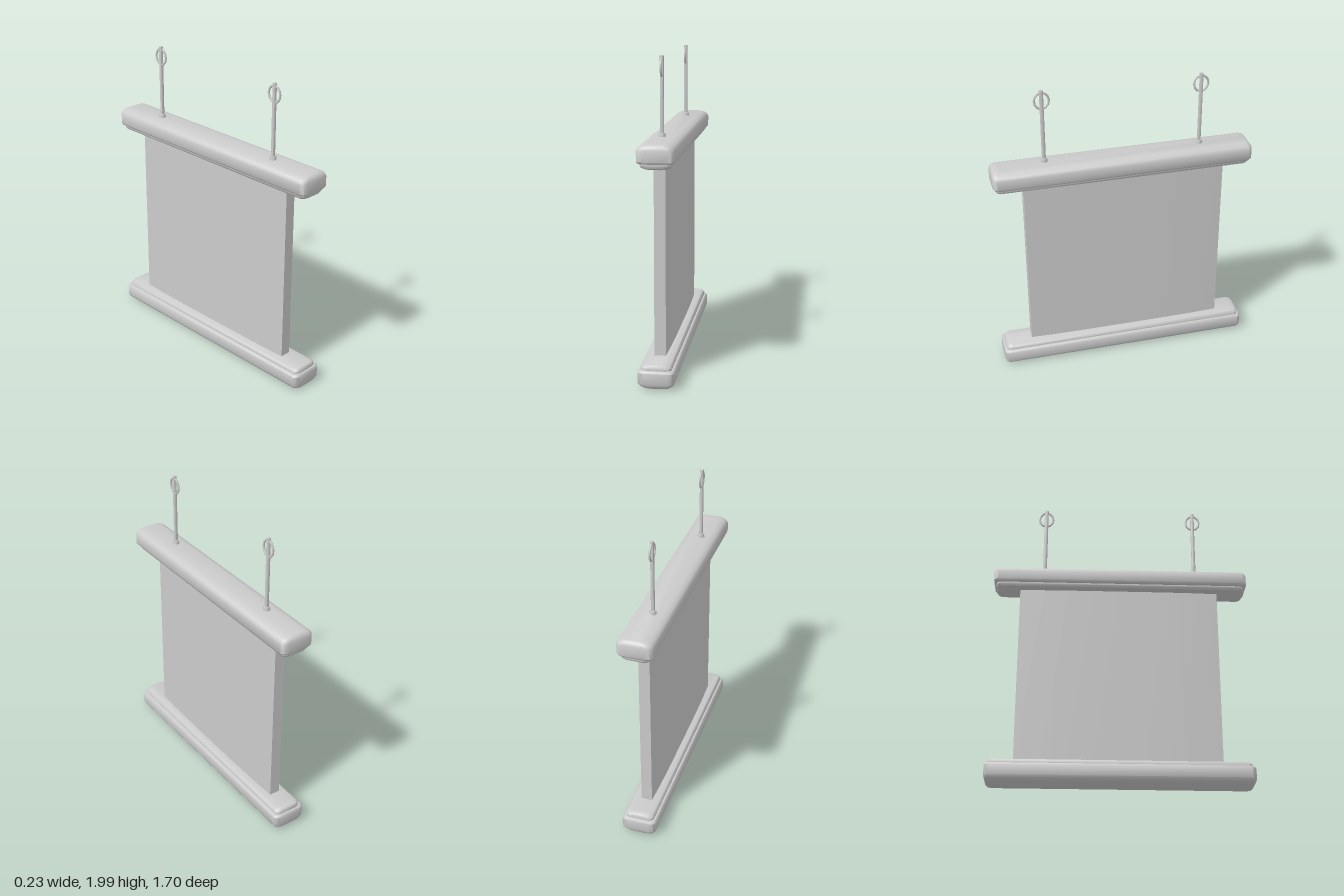
import * as THREE from 'three';
import { toCreasedNormals } from 'three/addons/utils/BufferGeometryUtils.js';

const grey = new THREE.MeshStandardMaterial({ color: 0xcccccc });

function add(parent, name, geometry, x = 0, y = 0, z = 0) {
  const mesh = new THREE.Mesh(geometry, grey);
  mesh.name = name;
  mesh.position.set(x, y, z);
  parent.add(mesh);
  return mesh;
}

// Solid skinned over horizontal outlines (each running from +x towards +z), listed upwards
function loft(rings, crease) {
  const n = rings[0].length, last = (rings.length - 1) * n, index = [];
  for (let j = 0; j < rings.length - 1; j++) {
    for (let i = 0; i < n; i++) {
      const a = j * n + i, b = j * n + (i + 1) % n;
      index.push(a, a + n, b, b, a + n, b + n);
    }
  }
  for (let i = 1; i < n - 1; i++) {
    index.push(0, i, i + 1, last, last + i + 1, last + i);
  }
  const geometry = new THREE.BufferGeometry();
  geometry.setAttribute('position', new THREE.Float32BufferAttribute(rings.flat(2), 3));
  geometry.setIndex(index);
  return toCreasedNormals(geometry, crease);
}

// Rectangle with cut corners at height y
function cutRectangle(y, hx, hz) {
  const cx = 0.036, cz = 0.026, mx = 0.014, mz = 0.007;
  const corner = [[hx, hz - cz], [hx - mx, hz - mz], [hx - cx, hz]];
  const mirrored = [...corner].reverse();
  return [
    ...corner,
    ...mirrored.map(([x, z]) => [-x, z]),
    ...corner.map(([x, z]) => [-x, -z]),
    ...mirrored.map(([x, z]) => [x, -z]),
  ].map(([x, z]) => [x, y, z]);
}

// Rail section: height, half depth, half length
const railProfile = [
  [0, 0.065, 0.815], [0.008, 0.085, 0.828], [0.022, 0.094, 0.834], [0.034, 0.094, 0.834],
  [0.036, 0.105, 0.843], [0.048, 0.113, 0.85], [0.115, 0.113, 0.85],
  [0.132, 0.104, 0.845], [0.145, 0.085, 0.836], [0.152, 0.06, 0.822],
];

export function createModel() {
  const model = new THREE.Group();
  model.name = 'hangingBanner';

  // Top rail, and the same rail turned over at the foot
  const rail = loft(railProfile.map(([y, hx, hz]) => cutRectangle(y, hx, hz)), 0.6);
  add(model, 'topRail', rail, 0, 1.358, 0);
  add(model, 'bottomRail', rail, 0, 0.158, 0).rotation.x = Math.PI;

  // Panel with gently bowed faces
  const side = [];
  for (let i = 0; i <= 8; i++) {
    const t = i / 4 - 1;
    side.push([0.045 - 0.009 * t ** 4, t * 0.663]);
  }
  const outline = [...side, ...[...side].reverse().map(([x, z]) => [-x, z])];
  const panel = loft([0.13, 1.38].map((y) => outline.map(([x, z]) => [x, y, z])), 0.5);
  add(model, 'panel', panel, -0.002, 0, -0.011);

  // Hanging rods, each with a collar and a ring
  for (const z of [0.505, -0.515]) {
    const hanger = new THREE.Group();
    hanger.name = z > 0 ? 'frontHanger' : 'backHanger';
    hanger.position.set(-0.01, 0, z);
    add(hanger, 'rod', toCreasedNormals(new THREE.CylinderGeometry(0.013, 0.013, 0.5, 8), 0.9), 0, 1.75, 0);
    add(hanger, 'collar', toCreasedNormals(new THREE.CylinderGeometry(0.02, 0.025, 0.03, 8), 0.9), 0, 1.518, 0);
    const ring = add(hanger, 'ring', new THREE.TorusGeometry(0.047, 0.007, 6, 12), 0, 1.93, 0);
    ring.rotation.y = Math.PI / 2;
    ring.scale.y = 1.15;
    model.add(hanger);
  }
  return model;
}
